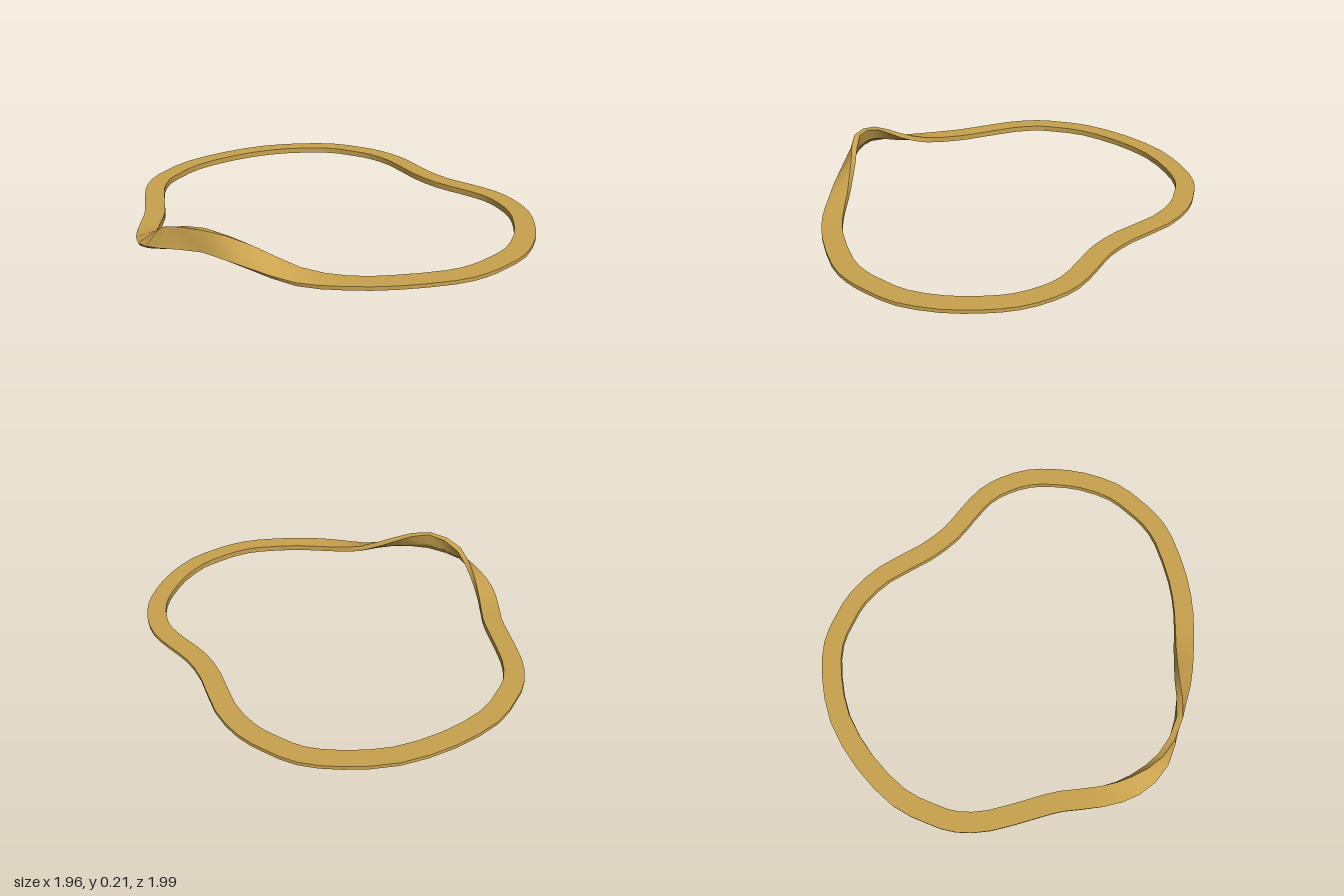
import * as THREE from 'three';

// Centre line of the band's top face: [x, z, lift, outward tilt in degrees]
const PATH = [
  [-0.1, -0.95], [0.08, -0.93], [0.21, -0.865], [0.33, -0.78], [0.445, -0.63],
  [0.545, -0.4], [0.64, -0.25], [0.75, -0.14], [0.85, -0.03], [0.905, 0.09],
  [0.93, 0.23], [0.915, 0.37], [0.87, 0.53], [0.78, 0.69], [0.67, 0.79],
  [0.57, 0.86], [0.44, 0.91], [0.2, 0.94], [0, 0.93], [-0.2, 0.89, 0.015, 14],
  [-0.4, 0.835, 0.08, 45], [-0.6, 0.765, 0.124, 86], [-0.78, 0.655, 0.1, 62],
  [-0.87, 0.5, 0.038, 28], [-0.895, 0.33, 0.003, 5], [-0.89, 0.13], [-0.905, 0],
  [-0.935, -0.23], [-0.92, -0.39], [-0.865, -0.51], [-0.765, -0.66],
  [-0.565, -0.815], [-0.33, -0.922],
];

// Cross-section, [outward, up] from the middle of the top face
const TOP = 0.037;
const SECTION = [[-0.05, 0], [0.05, 0], [0.05, -0.018], [0.015, -0.034], [-0.05, -0.03]];

function closedCurve(points) {
  return new THREE.CatmullRomCurve3(points, true, 'catmullrom', 0.5);
}

// One ring of section corners per step along the loop
function makeRings(steps) {
  const line = closedCurve(PATH.map(([x, z, h = 0]) => new THREE.Vector3(x, TOP + h, z)));
  const tilts = closedCurve(PATH.map(([, , , t = 0], i) => new THREE.Vector3(t, i, 0)));
  const up = new THREE.Vector3(0, 1, 0);
  const rings = [];
  for (let i = 0; i < steps; i++) {
    const t = i / steps;
    const p = line.getPoint(t);
    const tan = line.getTangent(t);
    const out = new THREE.Vector3(tan.z, 0, -tan.x).normalize();
    const a = THREE.MathUtils.degToRad(tilts.getPoint(t).x);
    const side = out.clone().multiplyScalar(Math.cos(a)).addScaledVector(up, -Math.sin(a));
    const face = up.clone().multiplyScalar(Math.cos(a)).addScaledVector(out, Math.sin(a));
    rings.push(SECTION.map(([s, n]) => p.clone().addScaledVector(side, s).addScaledVector(face, n)));
  }
  return rings;
}

// Each face of the section is its own strip: smooth along, sharp at the corners
function makeBand(rings) {
  const pos = [], index = [];
  const n = rings.length, sides = SECTION.length;
  for (let k = 0; k < sides; k++) {
    const base = pos.length / 3;
    for (let i = 0; i < n; i++) {
      pos.push(...rings[i][k].toArray(), ...rings[i][(k + 1) % sides].toArray());
      const a = base + i * 2, a2 = base + ((i + 1) % n) * 2;
      index.push(a, a2, a + 1, a + 1, a2, a2 + 1);
    }
  }
  const geo = new THREE.BufferGeometry();
  geo.setAttribute('position', new THREE.Float32BufferAttribute(pos, 3));
  geo.setIndex(index);
  geo.computeVertexNormals();
  return geo;
}

export function createModel() {
  const group = new THREE.Group();
  group.name = 'wavyRing';
  const gold = new THREE.MeshStandardMaterial({ color: 0xc9a24d });
  gold.name = 'gold';
  const band = new THREE.Mesh(makeBand(makeRings(PATH.length * 2)), gold);
  band.name = 'band';
  group.add(band);
  return group;
}
